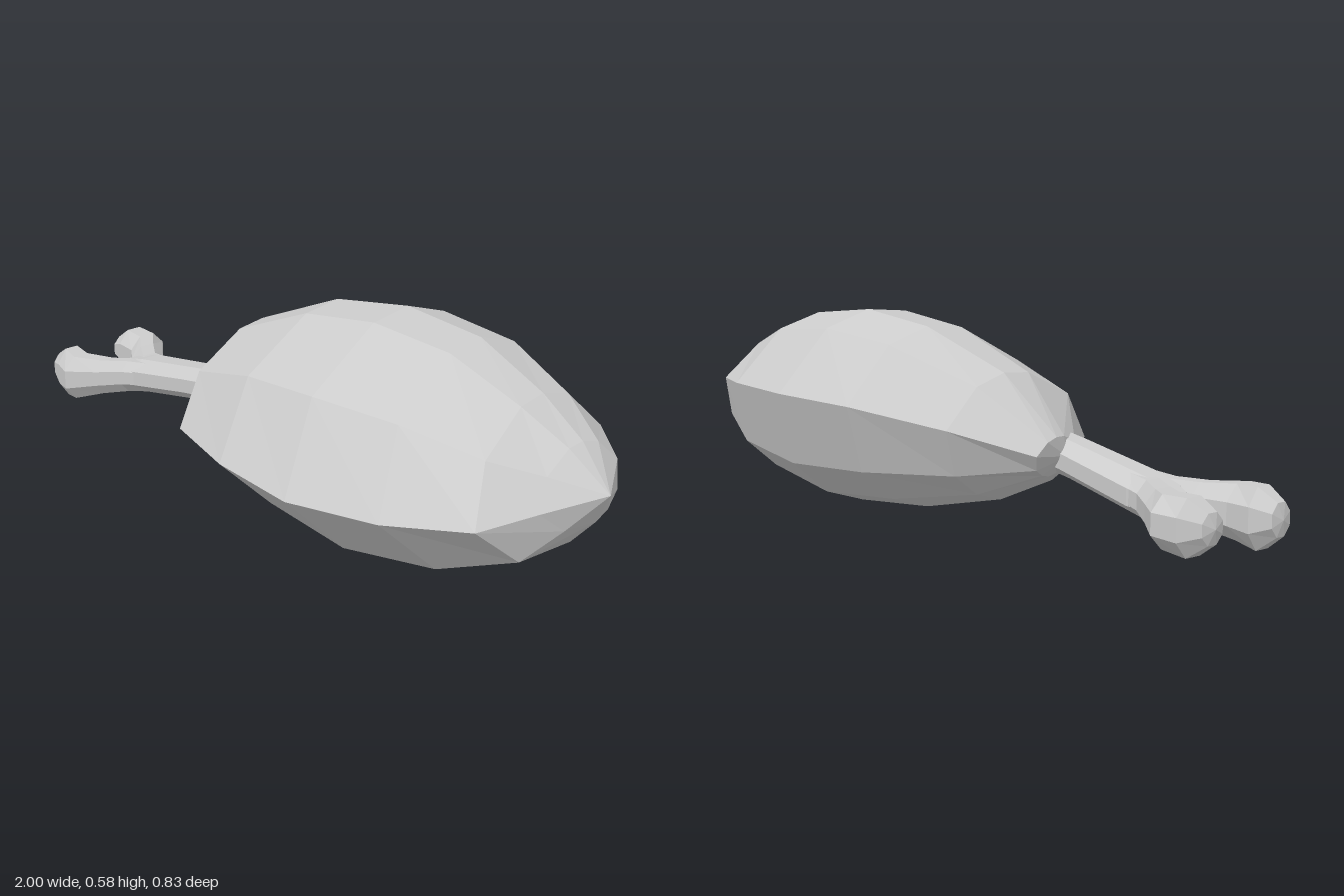
import * as THREE from 'three';

// Outline of the meat's cross-section as unit [z, y] offsets, front over the top to the back
const MEAT = [
  [1, -0.24], [0.66, 0.53], [0.04, 0.96], [-0.3, 1], [-0.65, 0.84],
  [-1, 0.24], [-0.83, -0.48], [-0.51, -0.84], [-0.17, -1], [0.56, -0.87],
];

// Regular outline for the bone
const BONE = Array.from({ length: 8 }, (_, i) => {
  const a = (i + 0.5) * Math.PI / 4;
  return [Math.cos(a) * 1.07, Math.sin(a) * 1.07];
});

// Skin rings along +x. Ring: [x, y, z, half height, half depth, lean by z, lean by y]
// Each end closes to a point; tips are [x, y, z].
function loft(name, outline, startTip, rings, endTip, material) {
  const n = outline.length;
  const pos = [...startTip];
  for (const [x, y, z, h, d, leanZ = 0, leanY = 0] of rings) {
    for (const [u, v] of outline) {
      pos.push(x + leanZ * u * d + leanY * v * h, y + v * h, z + u * d);
    }
  }
  pos.push(...endTip);
  const last = pos.length / 3 - 1;
  const index = [];
  for (let j = 0; j < n; j++) {
    const k = (j + 1) % n;
    index.push(0, 1 + j, 1 + k);
    for (let i = 0; i < rings.length - 1; i++) {
      const a = 1 + i * n, b = a + n;
      index.push(a + j, b + j, a + k, a + k, b + j, b + k);
    }
    const e = 1 + (rings.length - 1) * n;
    index.push(e + j, last, e + k);
  }
  const indexed = new THREE.BufferGeometry();
  indexed.setAttribute('position', new THREE.Float32BufferAttribute(pos, 3));
  indexed.setIndex(index);
  const geometry = indexed.toNonIndexed();
  geometry.computeVertexNormals();
  const mesh = new THREE.Mesh(geometry, material);
  mesh.name = name;
  return mesh;
}

export function createModel() {
  const group = new THREE.Group();
  group.name = 'drumstick';
  const material = new THREE.MeshStandardMaterial({ color: 0xcccccc, flatShading: true });

  // Faceted meat, its rings leaning forward at the bottom
  group.add(loft('meat', MEAT, [-0.42, 0.235, 0.02], [
    [-0.395, 0.235, 0.01, 0.055, 0.11, 0.33, -0.36],
    [-0.215, 0.265, 0.035, 0.175, 0.285, 0.14, -0.14],
    [0.05, 0.288, 0.012, 0.258, 0.383, 0.1, -0.12],
    [0.32, 0.291, 0, 0.288, 0.415, 0.09, -0.19],
    [0.59, 0.3, -0.015, 0.255, 0.375, 0.08, -0.29],
    [0.81, 0.308, -0.015, 0.168, 0.285, 0.1, -0.4],
    [0.912, 0.312, -0.03, 0.09, 0.155, 0, -0.38],
  ], [0.998, 0.315, -0.033], material));

  // Bone: shaft with two knobs splitting off its end
  const bone = new THREE.Group();
  bone.name = 'bone';
  bone.add(loft('shaft', BONE, [-0.825, 0.16, 0.045], [
    [-0.81, 0.16, 0.045, 0.03, 0.022],
    [-0.76, 0.165, 0.045, 0.046, 0.055],
    [-0.68, 0.178, 0.045, 0.053, 0.075],
    [-0.42, 0.226, 0.055, 0.05, 0.065],
    [-0.3, 0.245, 0.055, 0.05, 0.065],
  ], [-0.28, 0.245, 0.055], material));
  bone.add(loft('backKnob', BONE, [-0.995, 0.16, -0.065], [
    [-0.985, 0.16, -0.065, 0.038, 0.035],
    [-0.945, 0.16, -0.083, 0.07, 0.058],
    [-0.87, 0.162, -0.08, 0.065, 0.064],
    [-0.8, 0.167, -0.03, 0.054, 0.06],
    [-0.72, 0.173, 0.02, 0.05, 0.055],
    [-0.62, 0.189, 0.035, 0.045, 0.05],
  ], [-0.6, 0.19, 0.035], material));
  bone.add(loft('frontKnob', BONE, [-1, 0.15, 0.165], [
    [-0.992, 0.15, 0.165, 0.042, 0.033],
    [-0.94, 0.146, 0.163, 0.078, 0.053],
    [-0.87, 0.149, 0.176, 0.07, 0.062],
    [-0.79, 0.16, 0.13, 0.055, 0.05],
    [-0.72, 0.17, 0.085, 0.05, 0.045],
    [-0.62, 0.187, 0.065, 0.045, 0.045],
  ], [-0.6, 0.19, 0.065], material));
  group.add(bone);

  return group;
}
